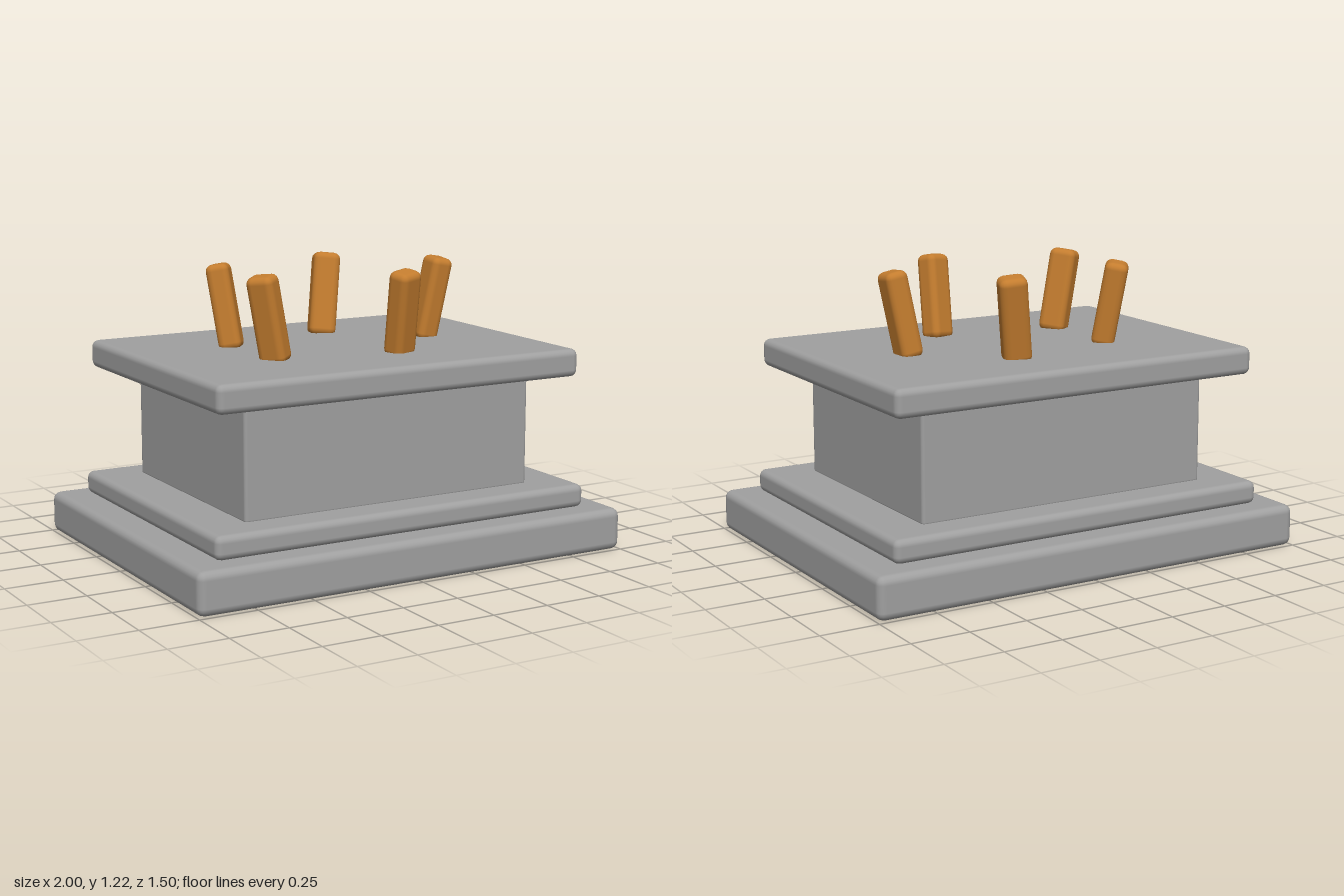
import * as THREE from 'three';
import { RoundedBoxGeometry } from 'three/addons/geometries/RoundedBoxGeometry.js';

export function createModel() {
  const model = new THREE.Group();
  const stone = new THREE.MeshStandardMaterial({ color: 0xa0a0a0 });
  stone.name = 'grey stone';
  const wood = new THREE.MeshStandardMaterial({ color: 0xc47d2f });
  wood.name = 'orange wood';

  // Stacked slabs of the pedestal: name, width, depth, bottom, top, edge radius
  const slabs = [
    ['base', 2.0, 1.5, 0, 0.18, 0.035],
    ['step', 1.75, 1.3, 0.18, 0.28, 0.03],
    ['body', 1.35, 1.0, 0.27, 0.755, 0.015],
    ['top', 1.7, 1.25, 0.745, 0.865, 0.03],
  ];
  for (const [name, w, d, y0, y1, r] of slabs) {
    const slab = new THREE.Mesh(new RoundedBoxGeometry(w, y1 - y0, d, 2, r), stone);
    slab.name = name;
    slab.position.y = (y0 + y1) / 2;
    model.add(slab);
  }

  // Ring of leaning pegs: foot x, foot z, tip x, tip z
  const pegs = [
    [0.47, -0.015, 0.53, 0.015],
    [0.16, 0.295, 0.145, 0.365],
    [-0.375, 0.2, -0.44, 0.205],
    [-0.385, -0.18, -0.42, -0.235],
    [0.125, -0.31, 0.18, -0.36],
  ];
  const pegGeometry = new RoundedBoxGeometry(0.1, 0.37, 0.12, 2, 0.03);
  const up = new THREE.Vector3(0, 1, 0);
  pegs.forEach(([fx, fz, tx, tz], i) => {
    const lean = new THREE.Vector3(tx - fx, 0.34, tz - fz).normalize();
    const turn = new THREE.Quaternion().setFromAxisAngle(up, (-i * Math.PI * 2) / 5);
    const peg = new THREE.Mesh(pegGeometry, wood);
    peg.name = `peg${i + 1}`;
    peg.quaternion.setFromUnitVectors(up, lean).multiply(turn);
    peg.position.set((fx + tx) / 2, 1.03, (fz + tz) / 2);
    model.add(peg);
  });

  return model;
}
